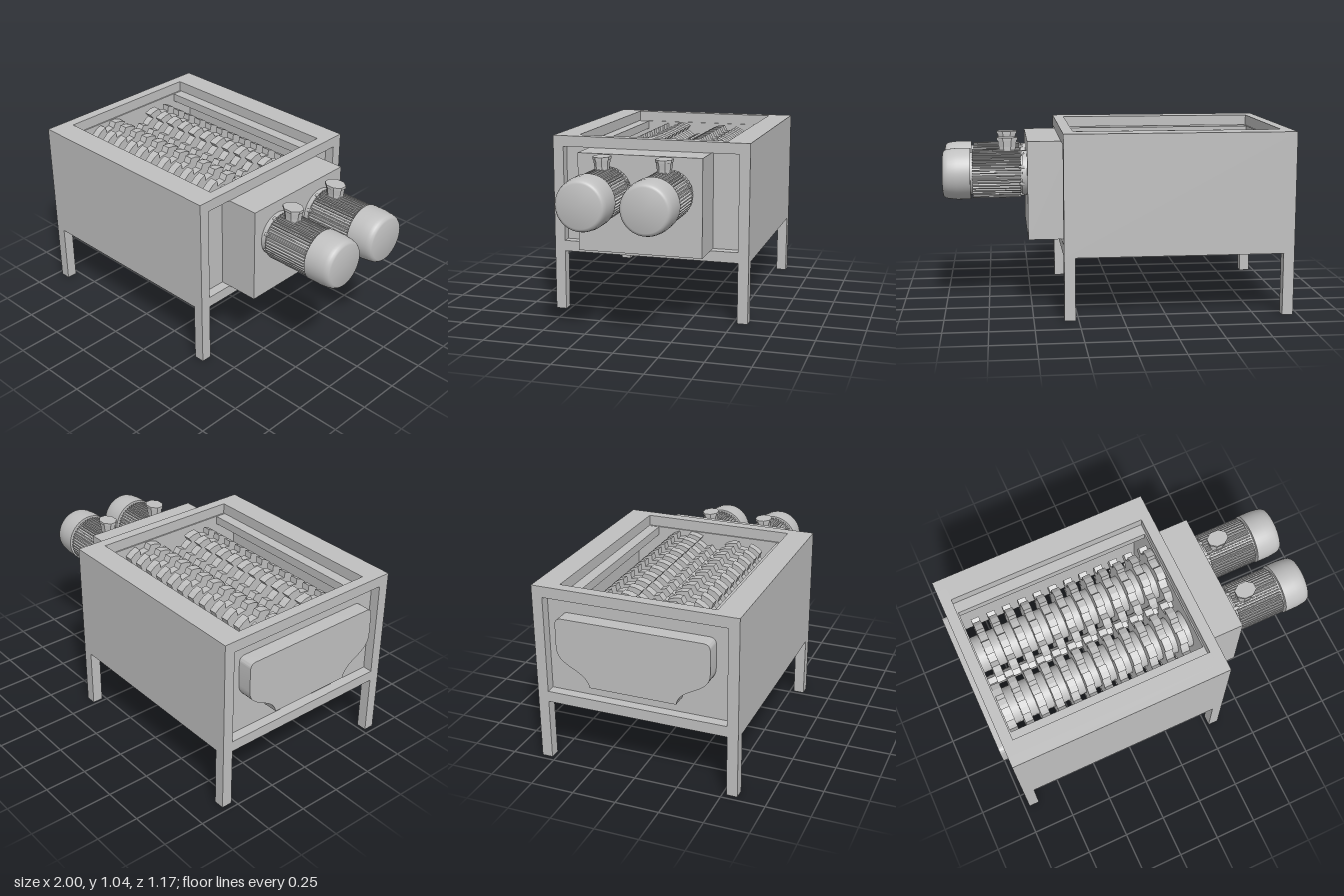
import * as THREE from 'three';
import { toCreasedNormals } from 'three/addons/utils/BufferGeometryUtils.js';

export function createModel() {
  const model = new THREE.Group();
  model.name = 'twinShaftShredder';
  const steel = new THREE.MeshStandardMaterial({ color: 0xc0c0c0 });
  steel.name = 'steelGrey';

  const add = (name, geometry, parent = model) => {
    const mesh = new THREE.Mesh(geometry, steel);
    mesh.name = name;
    parent.add(mesh);
    return mesh;
  };
  // Box given by its limits on each axis
  const box = (name, x0, x1, y0, y1, z0, z1, parent) => {
    const g = new THREE.BoxGeometry(x1 - x0, y1 - y0, z1 - z0);
    g.translate((x0 + x1) / 2, (y0 + y1) / 2, (z0 + z1) / 2);
    return add(name, g, parent);
  };
  // Solid of revolution along x, profile given as [x, radius]
  const turned = (name, profile, parent, segments = 40) => {
    const g = new THREE.LatheGeometry(profile.map(([x, r]) => new THREE.Vector2(r, x)), segments);
    g.rotateZ(-Math.PI / 2);
    return add(name, toCreasedNormals(g, 0.6), parent);
  };
  // Shape drawn in (-z, y), extruded along +x
  const extrudeX = (shape, depth, curveSegments = 10) => {
    const g = new THREE.ExtrudeGeometry(shape, { depth, bevelEnabled: false, curveSegments });
    g.rotateY(Math.PI / 2);
    return g;
  };

  // Frame: legs, side panels and end rails
  const X0 = -0.97, X1 = 0.33, Z = 0.585, T = 0.062;
  for (const s of [1, -1]) {
    const zIn = s * (Z - T), zOut = s * Z;
    const za = Math.min(zIn, zOut), zb = Math.max(zIn, zOut);
    box('sidePanel', X0, X1, 0.357, 1.045, za, zb);
    box('leg', X0, X0 + T, 0, 0.357, za, zb);
    box('leg', X1 - T, X1, 0, 0.357, za, zb);
    // Wide top rim and the ledge below it
    const r0 = s * 0.445, l0 = s * 0.382;
    box('topRim', X0 + T, X1 - T, 0.982, 1.045, Math.min(r0, zIn), Math.max(r0, zIn));
    box('chamberLedge', X0 + T, X1 - T, 0.93, 0.98, Math.min(l0, zIn), Math.max(l0, zIn));
  }
  for (const x of [X0, X1 - T]) {
    box('endTopRail', x, x + T, 0.982, 1.045, -Z + T, Z - T);
    box('endBottomRail', x, x + T, 0.357, 0.42, -Z + T, Z - T);
  }
  // Recessed chamber ends
  box('endPlate', X0 + T - 0.005, X0 + T + 0.008, 0.42, 0.982, -Z + T, Z - T);
  box('endPlate', X1 - T - 0.008, X1 - T + 0.005, 0.42, 0.982, -Z + T, Z - T);

  // Gearbox housing
  box('gearbox', X1 - T, 0.52, 0.42, 0.982, -0.362, 0.362);

  // Flared bearing cover on the far end
  const cover = new THREE.Shape();
  cover.moveTo(-0.25, 0.51);
  cover.lineTo(0.25, 0.51);
  cover.bezierCurveTo(0.27, 0.62, 0.44, 0.60, 0.44, 0.72);
  cover.lineTo(0.44, 0.85);
  cover.quadraticCurveTo(0.44, 0.89, 0.40, 0.89);
  cover.lineTo(-0.40, 0.89);
  cover.quadraticCurveTo(-0.44, 0.89, -0.44, 0.85);
  cover.lineTo(-0.44, 0.72);
  cover.bezierCurveTo(-0.44, 0.60, -0.27, 0.62, -0.25, 0.51);
  const coverGeometry = extrudeX(cover, 0.09, 16);
  coverGeometry.translate(-1, 0, 0);
  add('bearingCover', toCreasedNormals(coverGeometry, 0.5));

  // Toothed cutter disc with raised hooked blocks
  const AXIS_Y = 0.78, AXIS_Z = 0.178, TEETH = 8;
  const START = -0.9, SLOT = 1.16 / 24;
  const cutter = new THREE.Shape();
  for (let i = 0; i < TEETH; i++) {
    const step = (Math.PI * 2) / TEETH;
    [[0, 0.168], [0.25, 0.168], [0.45, 0.168], [0.4, 0.203], [0.65, 0.203], [0.9, 0.2], [1, 0.168]]
      .slice(0, 6).forEach(([f, r], k) => {
        const a = (i + f) * step;
        const p = [Math.cos(a) * r, Math.sin(a) * r];
        if (i === 0 && k === 0) cutter.moveTo(...p);
        else cutter.lineTo(...p);
      });
  }
  cutter.closePath();
  const cutterGeometry = extrudeX(cutter, SLOT);

  // Two counter-rotating shafts with interleaved cutters
  [1, -1].forEach((s, side) => {
    const rotor = new THREE.Group();
    rotor.name = 'cutterShaft';
    rotor.position.set(0, AXIS_Y, s * AXIS_Z);
    turned('shaft', [[-0.91, 0], [-0.91, 0.11], [0.27, 0.11], [0.27, 0]], rotor, 24);
    for (let i = 0; i < 12; i++) {
      const disc = add('cutter', cutterGeometry, rotor);
      disc.position.x = START + (2 * i + side) * SLOT;
      if (s < 0) {
        // Half turn about the vertical reverses the hooks
        disc.rotation.y = Math.PI;
        disc.position.x += SLOT;
      }
    }
    model.add(rotor);
  });

  // Motors
  const finGeometry = new THREE.BoxGeometry(0.275, 0.034, 0.007);
  for (const s of [1, -1]) {
    const motor = new THREE.Group();
    motor.name = 'motor';
    motor.position.set(0, AXIS_Y, s * AXIS_Z);
    turned('motorFlange', [[0.52, 0], [0.52, 0.13], [0.548, 0.13], [0.548, 0]], motor);
    turned('motorBody', [[0.54, 0], [0.54, 0.122], [0.85, 0.122], [0.85, 0]], motor);
    turned('fanCover', [[0.842, 0], [0.842, 0.148], [0.92, 0.148], [0.965, 0.143],
      [0.985, 0.138], [0.996, 0.13], [1, 0.12], [1, 0]], motor, 48);
    // Cooling fins around the body
    for (let i = 0; i < 48; i++) {
      const a = (i / 48) * Math.PI * 2;
      const fin = add('coolingFin', finGeometry, motor);
      fin.position.set(0.693, Math.cos(a) * 0.124, Math.sin(a) * 0.124);
      fin.rotation.x = a;
    }
    // Flange bolts
    for (let i = 0; i < 8; i++) {
      const a = ((i + 0.5) / 8) * Math.PI * 2;
      const bolt = new THREE.CylinderGeometry(0.012, 0.012, 0.03, 6);
      bolt.rotateZ(Math.PI / 2);
      bolt.translate(0.55, Math.cos(a) * 0.125, Math.sin(a) * 0.125);
      add('flangeBolt', bolt, motor);
    }
    // Octagonal terminal box on a short neck
    const octagon = (name, rTop, rBottom, y0, y1) => {
      const g = new THREE.CylinderGeometry(rTop, rBottom, y1 - y0, 8, 1, false, Math.PI / 8);
      g.scale(1.08, 1, 0.84);
      g.translate(0.63, (y0 + y1) / 2 - AXIS_Y, 0);
      add(name, g.toNonIndexed(), motor).geometry.computeVertexNormals();
    };
    octagon('terminalNeck', 0.048, 0.048, 0.88, 0.94);
    octagon('terminalBox', 0.054, 0.05, 0.935, 0.975);
    octagon('terminalLid', 0.06, 0.06, 0.973, 0.988);
    model.add(motor);
  }
  return model;
}
